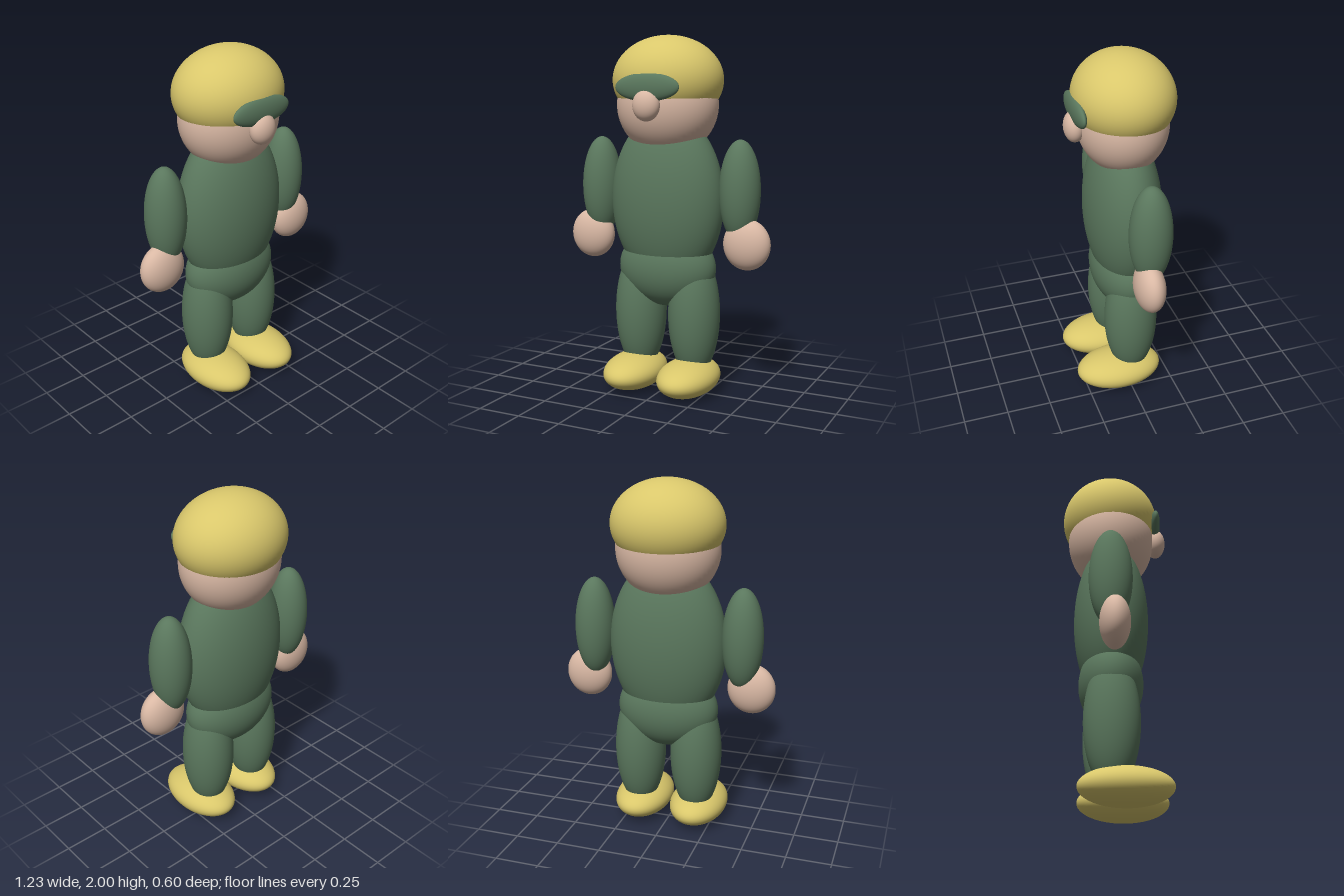
import * as THREE from 'three';

const material = (name, color) => {
  const m = new THREE.MeshStandardMaterial({ color });
  m.name = name;
  return m;
};

export function createModel() {
  const model = new THREE.Group();
  model.name = 'figure';
  const green = material('green cloth', 0x5a775d);
  const skin = material('skin', 0xd9b8a4);
  const yellow = material('yellow', 0xd9c76b);
  const sphere = new THREE.SphereGeometry(1, 64, 40);

  // Every part is a smooth ellipsoid: centre and radii
  const ellipsoid = (name, mat, centre, radii) => {
    const mesh = new THREE.Mesh(sphere, mat);
    mesh.name = name;
    mesh.position.set(...centre);
    mesh.scale.set(...radii);
    model.add(mesh);
  };

  // Body
  ellipsoid('torso', green, [0, 1.093, -0.019], [0.333, 0.487, 0.209]);
  ellipsoid('hips', green, [0, 0.71, -0.019], [0.29, 0.225, 0.178]);

  // Head, cap and face
  ellipsoid('head', skin, [0, 1.62, -0.021], [0.29, 0.28, 0.247]);
  ellipsoid('cap', yellow, [0, 1.755, -0.026], [0.315, 0.245, 0.275]);
  ellipsoid('visor', green, [0, 1.715, 0.234], [0.188, 0.075, 0.034]);
  ellipsoid('nose', skin, [0, 1.62, 0.242], [0.077, 0.085, 0.056]);

  // Limbs, mirrored
  for (const [side, s] of [['left', 1], ['right', -1]]) {
    ellipsoid(side + 'Arm', green, [s * 0.428, 1.155, -0.036], [0.113, 0.282, 0.116]);
    ellipsoid(side + 'Hand', skin, [s * 0.479, 0.87, -0.015], [0.134, 0.141, 0.081]);
    ellipsoid(side + 'Leg', green, [s * 0.167, 0.45, -0.019], [0.146, 0.365, 0.151]);
    ellipsoid(side + 'Foot', yellow, [s * 0.168, 0.104, 0.053], [0.163, 0.102, 0.25]);
  }
  return model;
}
